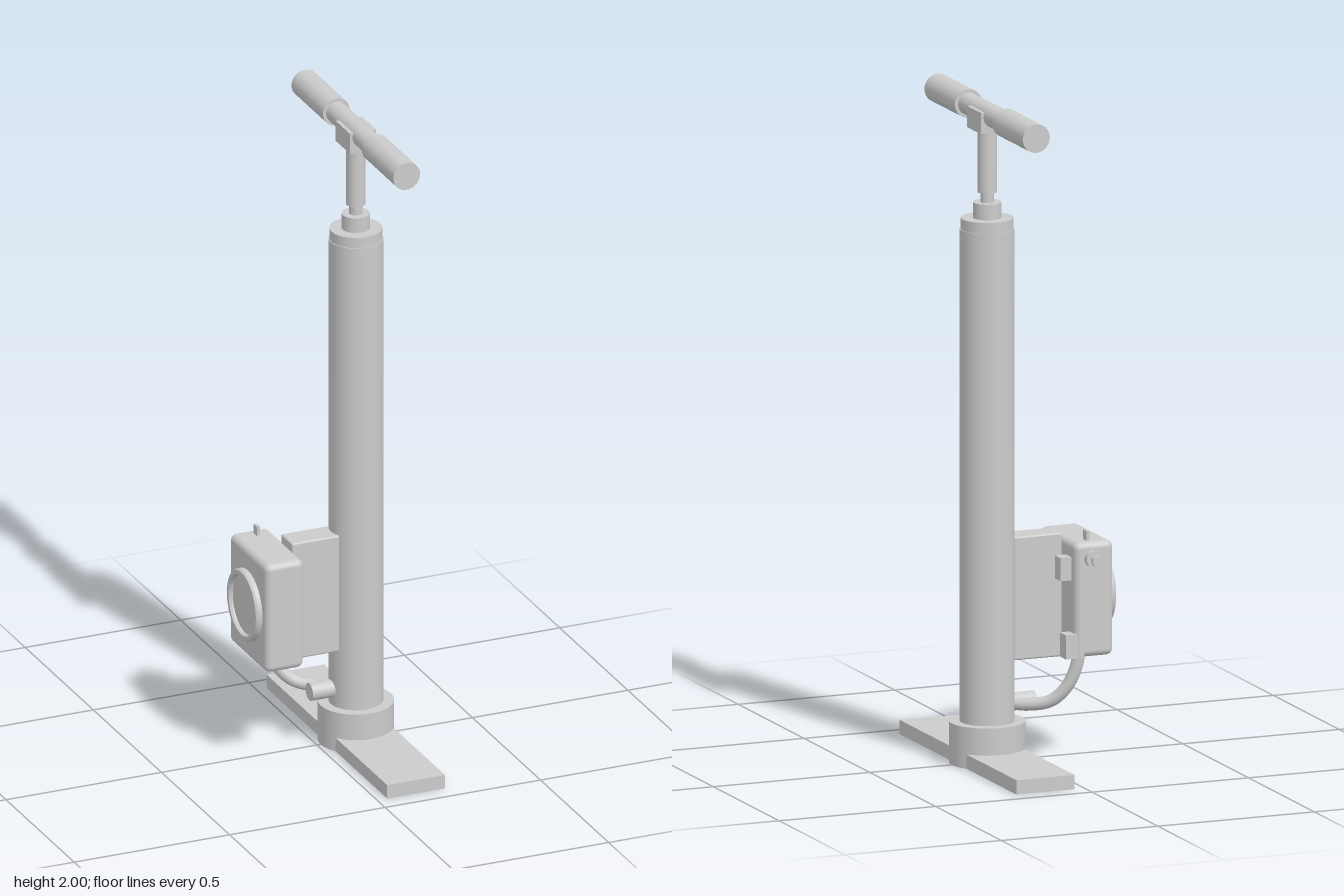
import * as THREE from 'three';
import { RoundedBoxGeometry } from 'three/addons/geometries/RoundedBoxGeometry.js';

const grey = new THREE.MeshStandardMaterial({ color: 0xcccccc });
const AXIS = 0.125; // x of the pump's centre line

export function createModel() {
  const model = new THREE.Group();

  const add = (name, geometry, x = 0, y = 0, z = 0) => {
    const mesh = new THREE.Mesh(geometry, grey);
    mesh.name = name;
    mesh.position.set(x, y, z);
    model.add(mesh);
    return mesh;
  };
  // Axis-aligned box given by its extents
  const box = (name, [x0, x1], [y0, y1], [z0, z1], radius = 0) => {
    const size = [x1 - x0, y1 - y0, z1 - z0];
    const geometry = radius ? new RoundedBoxGeometry(...size, 4, radius) : new THREE.BoxGeometry(...size);
    return add(name, geometry, (x0 + x1) / 2, (y0 + y1) / 2, (z0 + z1) / 2);
  };
  // Upright cylinder on the pump's centre line
  const post = (name, r, y0, y1) =>
    add(name, new THREE.CylinderGeometry(r, r, y1 - y0, 48), AXIS, (y0 + y1) / 2, 0);
  // Cylinder lying along z
  const rodZ = (name, r, x, y, z0, z1) => {
    const geometry = new THREE.CylinderGeometry(r, r, Math.abs(z1 - z0), 40).rotateX(Math.PI / 2);
    return add(name, geometry, x, y, (z0 + z1) / 2);
  };

  // Foot and pump body
  box('footPlate', [0.032, 0.218], [0, 0.043], [-0.443, 0.443]);
  post('baseCollar', 0.113, 0, 0.125);
  post('barrel', 0.081, 0.1, 1.61);
  post('barrelCap', 0.078, 1.6, 1.643);
  post('neckCollar', 0.042, 1.63, 1.69);
  post('pistonRod', 0.02, 1.68, 1.73);
  post('rodSleeve', 0.029, 1.72, 1.93);

  // T handle
  box('handleBlock', [AXIS - 0.042, AXIS + 0.042], [1.908, 1.972], [-0.052, 0.052]);
  rodZ('handleBar', 0.033, AXIS, 1.957, -0.16, 0.16);
  for (const s of [-1, 1]) rodZ('grip', 0.043, AXIS, 1.957, s * 0.142, s * 0.374);

  // Gauge housing on its bracket
  box('bracket', [-0.098, 0.056], [0.307, 0.68], [-0.041, 0.041], 0.006);
  box('gaugeHousing', [-0.223, -0.099], [0.32, 0.666], [-0.138, 0.136], 0.02);

  // Gauge: raised bezel around a recessed face, turned about x
  const bezel = [[0.11, 0], [0.11, 0.014], [0.106, 0.021], [0.094, 0.021], [0.09, 0.014], [0.09, 0.009], [0, 0.009]];
  const profile = [];
  bezel.forEach(([r, h], i) => {
    const p = new THREE.Vector2(r, h);
    profile.push(p);
    if (i > 0 && i < bezel.length - 1) profile.push(p.clone()); // doubled point keeps the edge crisp
  });
  add('gaugeDial', new THREE.LatheGeometry(profile, 64).rotateZ(Math.PI / 2), -0.222, 0.492, 0);

  // Small fittings on the housing
  box('topTab', [-0.156, -0.146], [0.65, 0.695], [-0.109, -0.085]);
  box('upperClip', [-0.105, -0.064], [0.55, 0.62], [-0.108, -0.065]);
  box('hoseSocket', [-0.105, -0.068], [0.32, 0.393], [-0.139, -0.093]);
  rodZ('valveBase', 0.025, -0.153, 0.618, -0.13, -0.155);
  rodZ('valveStem', 0.011, -0.153, 0.618, -0.15, -0.178);
  rodZ('valveKnob', 0.018, -0.153, 0.618, -0.176, -0.187);

  // Hose from the housing to the barrel
  const path = new THREE.CatmullRomCurve3([
    [-0.115, 0.37, -0.123], [-0.113, 0.31, -0.122], [-0.087, 0.235, -0.108],
    [-0.045, 0.187, -0.082], [0.012, 0.172, -0.042], [0.06, 0.173, 0],
  ].map((p) => new THREE.Vector3(...p)));
  add('hose', new THREE.TubeGeometry(path, 40, 0.019, 16));
  add('hoseConnector', new THREE.CylinderGeometry(0.027, 0.027, 0.085, 32).rotateZ(Math.PI / 2), 0.018, 0.175, 0);

  return model;
}
